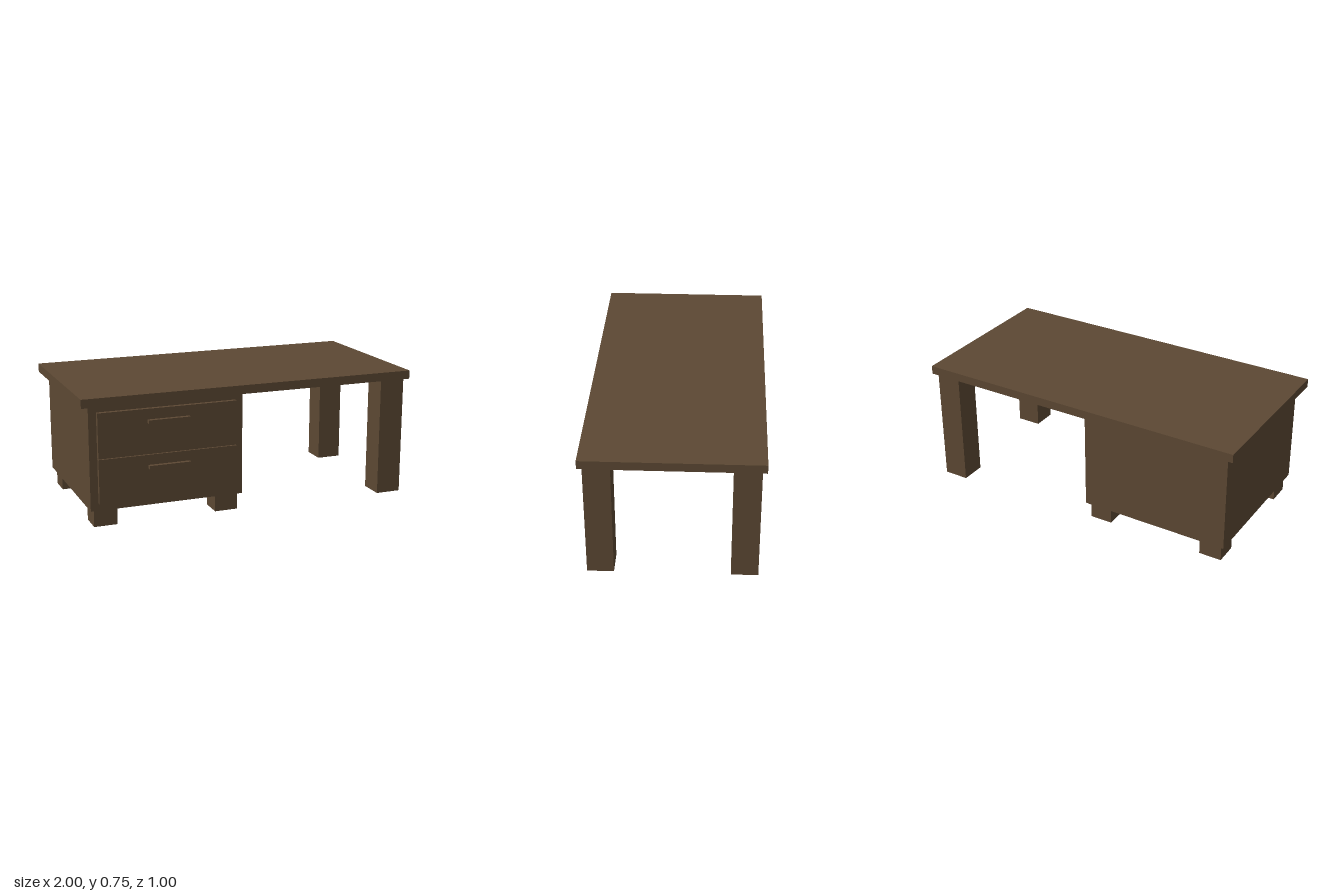
import * as THREE from 'three';

export function createModel() {
  const desk = new THREE.Group();
  desk.name = 'desk';
  const wood = new THREE.MeshStandardMaterial({ color: 0x5c4833 });
  wood.name = 'dark wood';

  // Box given by its size and centre
  function box(name, [w, h, d], [x, y, z], parent = desk) {
    const mesh = new THREE.Mesh(new THREE.BoxGeometry(w, h, d), wood);
    mesh.name = name;
    mesh.position.set(x, y, z);
    parent.add(mesh);
    return mesh;
  }

  // Table top
  box('tableTop', [2, 0.05, 1], [0, 0.725, 0]);

  // Two full-height legs on the open side
  for (const s of [1, -1]) {
    box(s > 0 ? 'frontLeg' : 'backLeg', [0.15, 0.7, 0.15], [0.9, 0.35, s * 0.4]);
  }

  // Drawer cabinet, centred on its own x axis
  const cabinet = new THREE.Group();
  cabinet.name = 'cabinet';
  cabinet.position.x = -0.5;
  desk.add(cabinet);
  box('cabinetBody', [0.9, 0.6, 0.9], [0, 0.4, 0], cabinet);

  // Four short feet under the cabinet
  for (const sx of [1, -1]) {
    for (const sz of [1, -1]) {
      box(`${sz > 0 ? 'front' : 'back'}${sx > 0 ? 'Left' : 'Right'}Foot`,
        [0.135, 0.1, 0.135], [sx * 0.36, 0.05, sz * 0.36], cabinet);
    }
  }

  // Drawer fronts with bar handles
  const drawers = [
    { name: 'lower', bottom: 0.145, top: 0.398, handleY: 0.33 },
    { name: 'upper', bottom: 0.402, top: 0.66, handleY: 0.59 },
  ];
  for (const { name, bottom, top, handleY } of drawers) {
    box(`${name}DrawerFront`, [0.81, top - bottom, 0.025], [0, (top + bottom) / 2, 0.4625], cabinet);
    box(`${name}DrawerHandle`, [0.243, 0.02, 0.025], [0, handleY, 0.4875], cabinet);
  }

  return desk;
}
